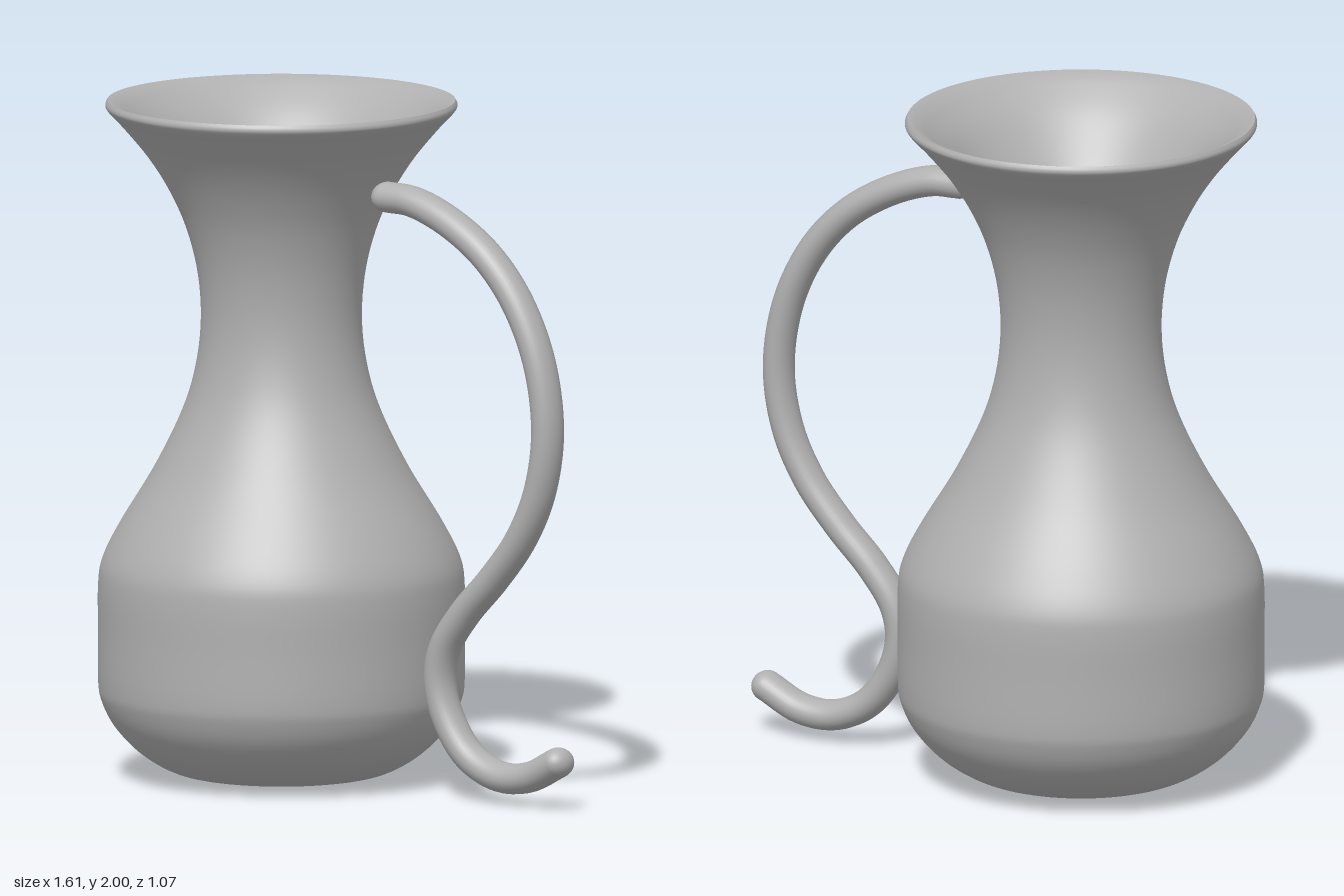
import * as THREE from 'three';

const v2 = (p) => new THREE.Vector2(p[0], p[1]);

// Smooth a short list of [radius, height] points into a lathe profile
function smooth(points, n) {
  return new THREE.SplineCurve(points.map(v2)).getPoints(n);
}

export function createModel() {
  const group = new THREE.Group();
  const clay = new THREE.MeshStandardMaterial({ color: 0xb0b0b0, side: THREE.DoubleSide });
  clay.name = 'grey clay';

  const add = (name, geometry, parent) => {
    const mesh = new THREE.Mesh(geometry, clay);
    mesh.name = name;
    parent.add(mesh);
    return mesh;
  };

  // Jug: outer and inner walls turned about one axis
  const jug = new THREE.Group();
  jug.name = 'jug';
  jug.position.x = -0.27;
  group.add(jug);

  const outer = [
    [0, 0], [0.12, 0.002], [0.24, 0.01], [0.33, 0.03], [0.42, 0.085], [0.49, 0.16],
    [0.525, 0.23], [0.535, 0.29], [0.535, 0.43], [0.535, 0.57], [0.522, 0.65],
    [0.47, 0.755], [0.37, 0.92], [0.29, 1.085], [0.25, 1.22], [0.235, 1.36],
    [0.246, 1.5], [0.28, 1.63], [0.33, 1.74], [0.39, 1.835], [0.46, 1.92],
    [0.505, 1.968], [0.514, 1.985], [0.508, 2],
  ];
  add('outerWall', new THREE.LatheGeometry(smooth(outer, 110), 96), jug);

  const inner = [
    [0.508, 2], [0.485, 1.992], [0.45, 1.97], [0.38, 1.91], [0.31, 1.825], [0.25, 1.74],
    [0.2, 1.63], [0.166, 1.5], [0.155, 1.36], [0.17, 1.22], [0.215, 1.05], [0.29, 0.88],
    [0.39, 0.72], [0.45, 0.6], [0.455, 0.3], [0.4, 0.18], [0.25, 0.1], [0.12, 0.09], [0, 0.09],
  ];
  add('innerWall', new THREE.LatheGeometry(smooth(inner, 90), 96), jug);

  // Handle: S-shaped rod, slightly wider than it is thick
  const handle = new THREE.Group();
  handle.name = 'handle';
  handle.scale.z = 1.18;
  group.add(handle);

  const r = 0.045;
  const path = new THREE.CatmullRomCurve3([
    [0.125, 1.75], [0.22, 1.745], [0.36, 1.695], [0.5, 1.605], [0.61, 1.48], [0.69, 1.31],
    [0.72, 1.11], [0.69, 0.93], [0.62, 0.785], [0.52, 0.66], [0.41, 0.545], [0.338, 0.44],
    [0.32, 0.345], [0.35, 0.235], [0.43, 0.13], [0.54, 0.08], [0.65, 0.087], [0.758, 0.14],
  ].map(([x, y]) => new THREE.Vector3(x, y, 0)), false, 'centripetal');
  add('handleRod', new THREE.TubeGeometry(path, 140, r, 28), handle);

  // Rounded tips
  for (const t of [0, 1]) {
    add('handleTip', new THREE.SphereGeometry(r, 28, 18), handle).position.copy(path.getPoint(t));
  }

  return group;
}
